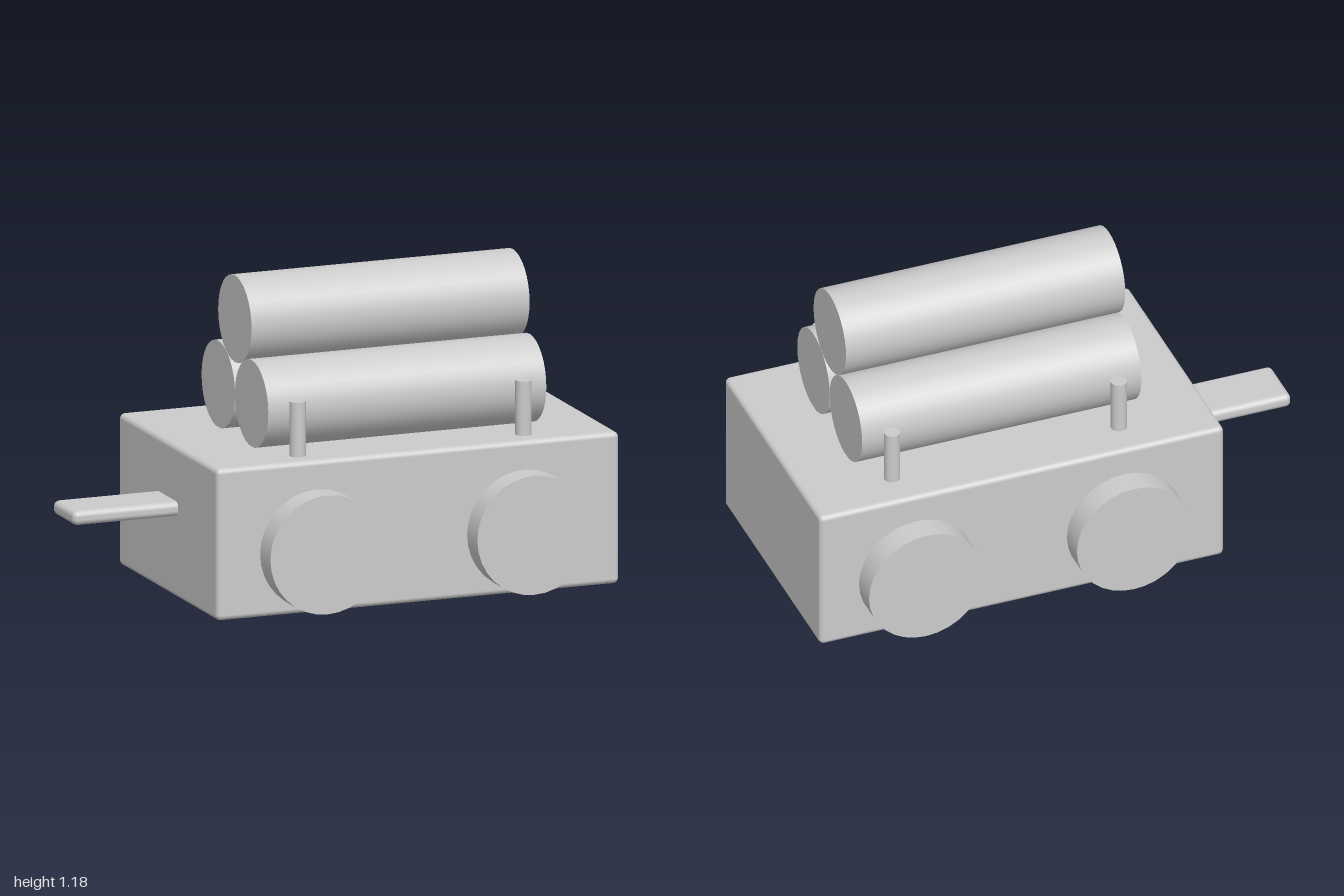
import * as THREE from 'three';
import { RoundedBoxGeometry } from 'three/addons/geometries/RoundedBoxGeometry.js';

export function createModel() {
  const model = new THREE.Group();
  model.name = 'logWagon';
  const material = new THREE.MeshStandardMaterial({ color: 0xcccccc });

  function add(name, geometry, x, y, z) {
    const mesh = new THREE.Mesh(geometry, material);
    mesh.name = name;
    mesh.position.set(x, y, z);
    model.add(mesh);
    return mesh;
  }

  // Wagon body and drawbar, both with softened edges
  add('body', new RoundedBoxGeometry(1.585, 0.57, 0.965, 4, 0.02), 0.203, 0.287, 0);
  add('drawbar', new RoundedBoxGeometry(0.44, 0.054, 0.212, 4, 0.022), -0.78, 0.338, -0.004);

  // Wheels: short discs standing out from the long sides
  const wheel = new THREE.CylinderGeometry(0.224, 0.224, 0.14, 32).rotateX(Math.PI / 2);
  for (const x of [-0.196, 0.619]) {
    for (const side of [1, -1]) add('wheel', wheel, x, 0.24, side * 0.513);
  }

  // Stakes on both sides of the load
  const stake = new THREE.CylinderGeometry(0.03, 0.03, 0.217, 32);
  for (const x of [-0.232, 0.657]) {
    for (const z of [0.382, -0.337]) add('stake', stake, x, 0.668, z);
  }

  // Three logs stacked in a pyramid, lying along x
  const log = new THREE.CylinderGeometry(0.163, 0.163, 1.095, 32).rotateZ(Math.PI / 2);
  for (const [y, z] of [[0.733, 0.187], [0.733, -0.139], [1.015, 0.023]]) {
    add('log', log, 0.213, y, z);
  }

  return model;
}
